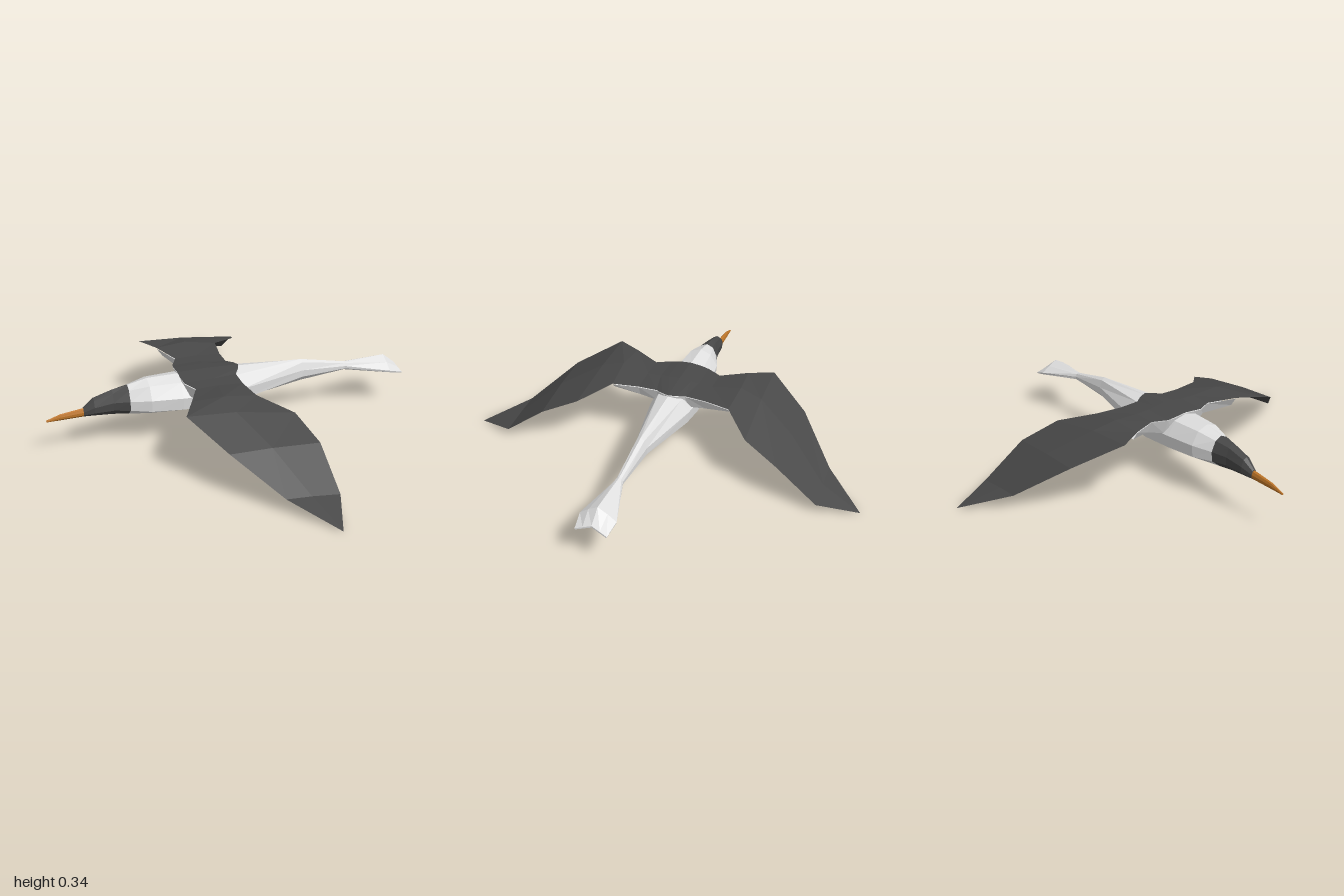
import * as THREE from 'three';

const mat = (name, color) => {
  const m = new THREE.MeshStandardMaterial({ color, flatShading: true, side: THREE.DoubleSide });
  m.name = name;
  return m;
};

// Skin a list of point rows; closed rows form a tube with capped ends
function loft(rows, closed) {
  const pos = [];
  const tri = (a, b, c) => pos.push(...a, ...b, ...c);
  const n = rows[0].length;
  for (let r = 0; r < rows.length - 1; r++) {
    const A = rows[r], B = rows[r + 1];
    for (let i = 0; i < (closed ? n : n - 1); i++) {
      const j = (i + 1) % n;
      tri(A[i], A[j], B[i]);
      tri(A[j], B[j], B[i]);
    }
  }
  if (closed) {
    const A = rows[0], B = rows[rows.length - 1];
    for (let i = 1; i < n - 1; i++) {
      tri(A[0], A[i + 1], A[i]);
      tri(B[0], B[i], B[i + 1]);
    }
  }
  const g = new THREE.BufferGeometry();
  g.setAttribute('position', new THREE.Float32BufferAttribute(pos, 3));
  g.computeVertexNormals();
  return g;
}

// Complete a half section (top to keel, z >= 0) into a ring of eight points
const mirrorRing = (half) => [
  ...half,
  ...half.slice(1, -1).reverse().map(([x, y, z]) => [x, y, -z]),
];

// Body cross-section: station x, top y, bottom y, half width
const ring = ([x, top, bottom, w]) => mirrorRing(
  [[1, 0], [0.9, 0.6], [0.58, 1], [0.27, 0.94], [0, 0]]
    .map(([f, k]) => [x, bottom + f * (top - bottom), w * k]));

// Mirror a row of wing points across z = 0, the first point being central
const span = (row) => [
  ...row.slice(1).reverse().map(([x, y, z]) => [x, y, -z]),
  ...row,
];

export function createModel() {
  const dark = mat('dark feathers', 0x484848);
  const pale = mat('pale feathers', 0xe0e0e0);
  const orange = mat('orange bill', 0xbf7628);
  const model = new THREE.Group();
  model.name = 'flyingBird';
  const add = (name, geometry, material) => {
    const m = new THREE.Mesh(geometry, material);
    m.name = name;
    model.add(m);
  };

  add('bill', loft([
    [-0.905, 0.2, 0.19, 0.004], [-0.84, 0.222, 0.19, 0.008], [-0.73, 0.235, 0.19, 0.013],
  ].map(ring), true), orange);

  add('head', loft([
    [-0.73, 0.238, 0.19, 0.015], [-0.68, 0.28, 0.186, 0.03],
    [-0.59, 0.308, 0.178, 0.037], [-0.515, 0.32, 0.166, 0.055],
  ].map(ring), true), dark);

  add('body', loft([
    [-0.515, 0.32, 0.166, 0.055], [-0.42, 0.34, 0.15, 0.09], [-0.27, 0.34, 0.14, 0.106],
    [-0.1, 0.335, 0.13, 0.11], [0.02, 0.332, 0.14, 0.1],
    [0.37, 0.312, 0.195, 0.031], [0.61, 0.26, 0.215, 0.018],
  ].map(ring), true), pale);

  // Fanned tail, ridged on top and hollow below
  add('tail', loft([
    ring([0.61, 0.26, 0.215, 0.018]),
    mirrorRing([[0.83, 0.265, 0], [0.83, 0.24, 0.045], [0.83, 0.21, 0.086], [0.83, 0.2, 0.083], [0.83, 0.24, 0]]),
    mirrorRing([[0.895, 0.213, 0], [0.9, 0.2, 0.04], [0.907, 0.186, 0.075], [0.907, 0.18, 0.073], [0.895, 0.205, 0]]),
  ], true), pale);

  // Wings: leading and trailing edges from the spine to the tip
  const leading = [
    [-0.27, 0.346, 0], [-0.27, 0.34, 0.06], [-0.265, 0.334, 0.1], [-0.23, 0.332, 0.17],
    [-0.29, 0.343, 0.3], [-0.35, 0.338, 0.415], [-0.22, 0.235, 0.615], [-0.03, 0.08, 0.8], [0.15, 0.004, 0.995],
  ];
  const middle = [
    [-0.12, 0.345, 0], [-0.12, 0.34, 0.06], [-0.12, 0.335, 0.1], [-0.12, 0.333, 0.17],
    [-0.14, 0.349, 0.31], [-0.31, 0.351, 0.355], [-0.02, 0.225, 0.61], [0.09, 0.069, 0.8], [0.15, 0.004, 0.995],
  ];
  middle[5] = [-0.12, 0.322, 0.42];
  const trailing = [
    [0.037, 0.338, 0], [0.025, 0.334, 0.035], [0, 0.327, 0.075], [0, 0.324, 0.17],
    [0.02, 0.322, 0.3], [0.16, 0.272, 0.43], [0.212, 0.2, 0.6], [0.225, 0.05, 0.8], [0.15, 0.004, 0.995],
  ];
  add('wings', loft([leading, middle, trailing].map(span), false), dark);

  // Pale thick underside of the inner wings
  const top = (row) => row.slice(0, 5).map(([x, y, z]) => [x, y - 0.004, z]);
  const low = (row, dx) => row.slice(0, 5).map(([x, , z], i) =>
    [x + dx, [0.25, 0.25, 0.255, 0.268, 0.295][i], z]);
  add('wingLinings', loft(
    [top(trailing), low(trailing, -0.02), low(leading, 0.03), top(leading)].map(span), false), pale);

  return model;
}
